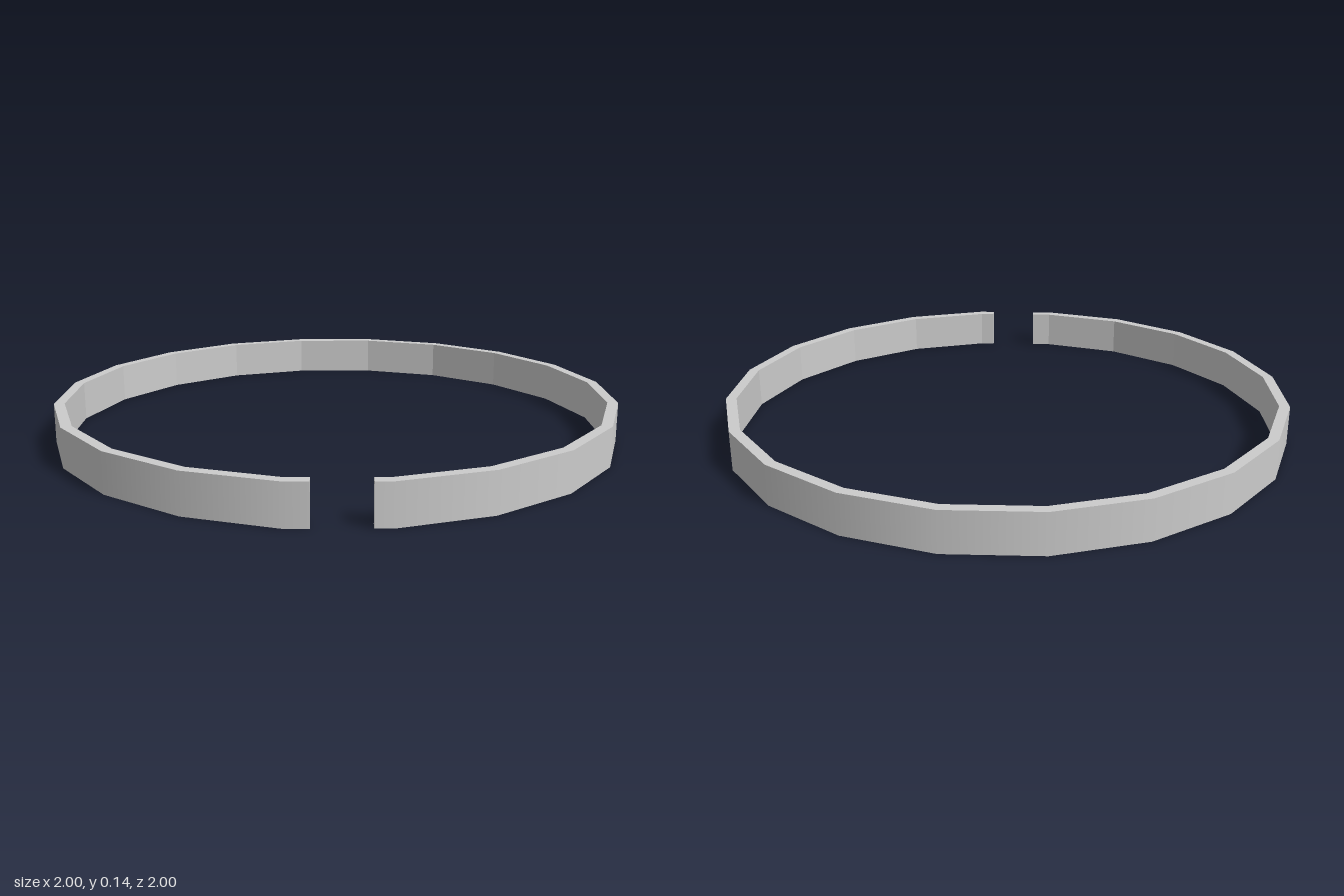
import * as THREE from 'three';

const SIDES = 20, OUTER = 1, INNER = 0.963, HEIGHT = 0.14;
const GAP_LEFT = 0.10, GAP_RIGHT = -0.08; // x of the two cut ends

// Outline of one wall, from the left cut end round the back to the right one
function wall(apothem) {
  const radius = apothem / Math.cos(Math.PI / SIDES);
  const points = [new THREE.Vector2(GAP_LEFT, -apothem)];
  for (let i = 0; i < SIDES; i++) {
    const a = -Math.PI / 2 + (i + 0.5) * 2 * Math.PI / SIDES;
    points.push(new THREE.Vector2(radius * Math.cos(a), radius * Math.sin(a)));
  }
  points.push(new THREE.Vector2(GAP_RIGHT, -apothem));
  return points;
}

export function createModel() {
  const group = new THREE.Group();
  group.name = 'splitRing';

  // Open band: outer wall one way, inner wall back
  const shape = new THREE.Shape([...wall(OUTER), ...wall(INNER).reverse()]);
  const geometry = new THREE.ExtrudeGeometry(shape, { depth: HEIGHT, bevelEnabled: false });
  geometry.rotateX(-Math.PI / 2);

  // Outer wall is smooth; inner facets, rims and cut ends stay flat
  const { position, normal } = geometry.attributes;
  const p = new THREE.Vector3(), n = new THREE.Vector3();
  for (let i = 0; i < position.count; i++) {
    p.fromBufferAttribute(position, i).setY(0).normalize();
    n.fromBufferAttribute(normal, i);
    if (n.dot(p) > 0.5) normal.setXYZ(i, p.x, 0, p.z);
  }

  const band = new THREE.Mesh(geometry, new THREE.MeshStandardMaterial({ color: 0xcccccc }));
  band.name = 'band';
  group.add(band);
  return group;
}
